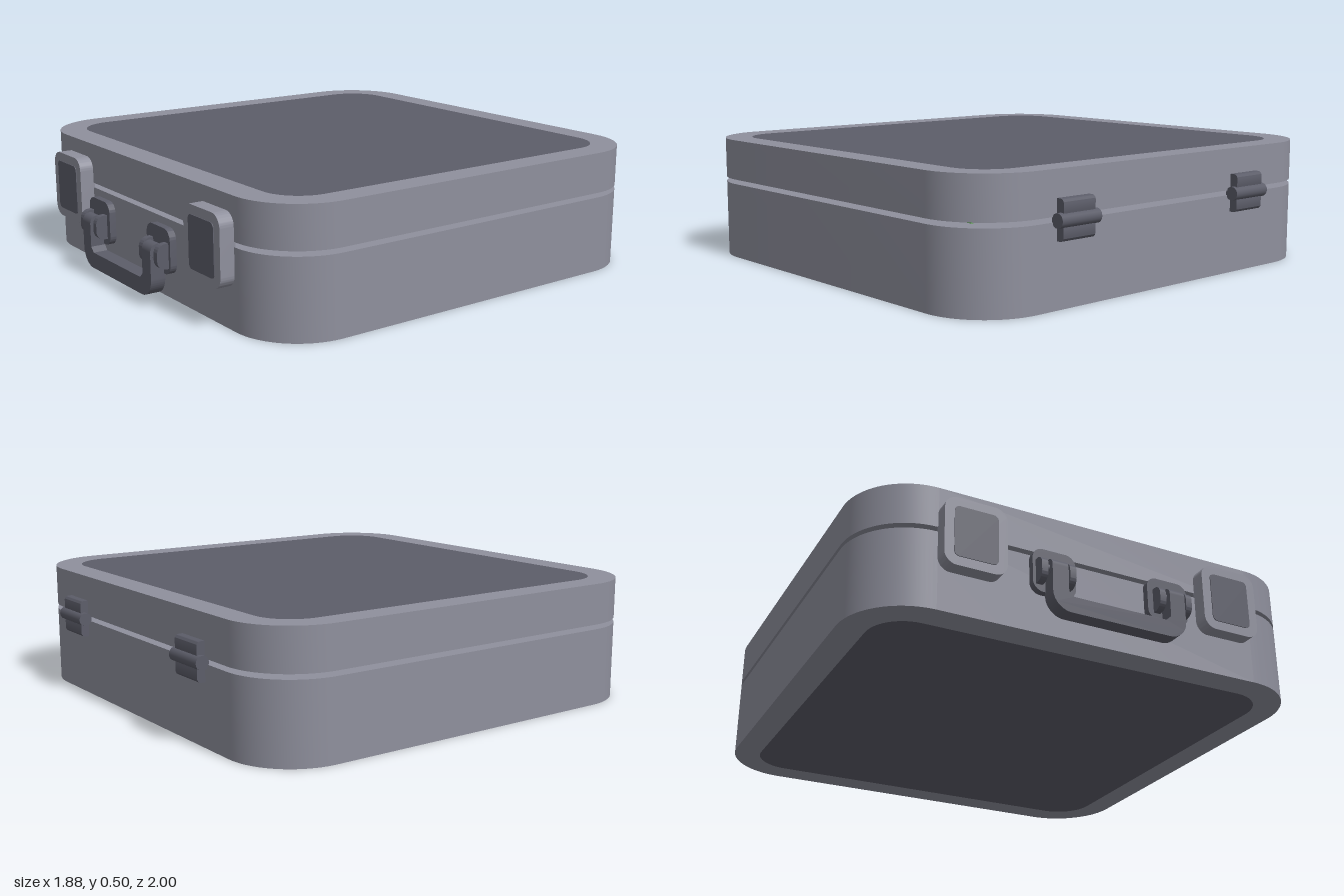
import * as THREE from 'three';
import { toCreasedNormals } from 'three/addons/utils/BufferGeometryUtils.js';

const mat = (name, color) => {
  const m = new THREE.MeshStandardMaterial({ color });
  m.name = name;
  return m;
};

// Rounded rectangle outline, centred on (cx, cy)
function roundRect(target, cx, cy, w, h, r) {
  const x = w / 2 - r, y = h / 2 - r, q = Math.PI / 2;
  target.absarc(cx + x, cy + y, r, 0, q);
  target.absarc(cx - x, cy + y, r, q, 2 * q);
  target.absarc(cx - x, cy - y, r, 2 * q, 3 * q);
  target.absarc(cx + x, cy - y, r, 3 * q, 4 * q);
  target.closePath();
  return target;
}

function extrude(shape, depth) {
  const g = new THREE.ExtrudeGeometry(shape, { depth, bevelEnabled: false, curveSegments: 12 });
  return toCreasedNormals(g, 0.6);
}

export function createModel() {
  const shellMat = mat('shellGrey', 0x8f909d);
  const darkMat = mat('darkGrey', 0x5c5d69);
  const greenMat = mat('green', 0x4faf3c);
  const model = new THREE.Group();
  model.name = 'briefcase';

  const add = (parent, name, geometry, material, x = 0, y = 0, z = 0) => {
    const mesh = new THREE.Mesh(geometry, material);
    mesh.name = name;
    mesh.position.set(x, y, z);
    parent.add(mesh);
    return mesh;
  };

  // Case halves: a rounded wall ring closed by a flush dark panel
  const half = (name, y0, y1, panelY) => {
    const g = new THREE.Group();
    g.name = name;
    model.add(g);
    const wall = roundRect(new THREE.Shape(), 0, 0.0375, 1.88, 1.825, 0.27);
    wall.holes.push(roundRect(new THREE.Path(), 0, 0.04, 1.66, 1.6, 0.155));
    add(g, name + 'Wall', extrude(wall, y1 - y0).rotateX(-Math.PI / 2), shellMat, 0, y0);
    const panel = roundRect(new THREE.Shape(), 0, 0.04, 1.66, 1.6, 0.155);
    add(g, name + 'Panel', extrude(panel, 0.04).rotateX(-Math.PI / 2), darkMat, 0, panelY);
  };
  half('base', 0, 0.312, 0);
  half('lid', 0.331, 0.496, 0.456);

  // Four green stacks inside, just showing through the gap
  for (const x of [-0.415, 0.415])
    for (const z of [0.37, -0.415])
      add(model, 'greenStack', new THREE.BoxGeometry(0.81, 0.286, 0.73), greenMat, x, 0.183, z);

  // Front latches
  for (const x of [-0.548, 0.541]) {
    const g = new THREE.Group();
    g.name = 'latch';
    g.position.set(x, 0.297, 0);
    model.add(g);
    add(g, 'latchBody', extrude(roundRect(new THREE.Shape(), 0, 0, 0.247, 0.276, 0.05), 0.063), shellMat, 0, 0, 0.87);
    add(g, 'latchPlate', extrude(roundRect(new THREE.Shape(), 0, 0, 0.172, 0.204, 0.02), 0.006), darkMat, 0, 0, 0.93);
  }

  // Handle mounts with a pair of lugs on each
  const handle = new THREE.Group();
  handle.name = 'handle';
  model.add(handle);
  for (const s of [-1, 1]) {
    add(handle, 'handleMount', extrude(roundRect(new THREE.Shape(), 0, 0, 0.176, 0.176, 0.042), 0.027), darkMat, s * 0.242, 0.218, 0.915);
    for (const dx of [-0.057, 0.057]) {
      const lug = roundRect(new THREE.Shape(), 0, 0, 0.08, 0.098, 0.036);
      add(handle, 'handleLug', extrude(lug, 0.026).translate(0, 0, -0.013).rotateY(Math.PI / 2), darkMat, s * 0.248 + dx, 0.206, 0.95);
    }
    // Pin through the lugs and the end of the grip
    add(handle, 'handlePin', new THREE.CylinderGeometry(0.016, 0.016, 0.13, 16).rotateZ(Math.PI / 2), darkMat, s * 0.248, 0.215, 0.965);
    // Rounded top end of the grip
    add(handle, 'gripEnd', new THREE.CylinderGeometry(0.03, 0.03, 0.065, 20).rotateZ(Math.PI / 2), darkMat, s * 0.248, 0.22, 0.968);
  }

  // U-shaped grip
  const u = new THREE.Shape();
  u.moveTo(-0.28, 0.22);
  u.lineTo(-0.28, 0.115);
  u.absarc(-0.205, 0.115, 0.075, Math.PI, Math.PI * 1.5);
  u.lineTo(0.205, 0.04);
  u.absarc(0.205, 0.115, 0.075, Math.PI * 1.5, Math.PI * 2);
  u.lineTo(0.28, 0.22);
  u.lineTo(0.215, 0.22);
  u.lineTo(0.215, 0.125);
  u.lineTo(0.195, 0.105);
  u.lineTo(-0.195, 0.105);
  u.lineTo(-0.215, 0.125);
  u.lineTo(-0.215, 0.22);
  u.closePath();
  add(handle, 'grip', extrude(u, 0.06), darkMat, 0, 0, 0.938);

  // Back hinges: two rounded leaves with a barrel between
  for (const x of [-0.445, 0.502]) {
    const g = new THREE.Group();
    g.name = 'hinge';
    g.position.set(x, 0.32, -0.945);
    model.add(g);
    for (const s of [-1, 1]) {
      const leaf = roundRect(new THREE.Shape(), 0, 0, 0.076, 0.062, 0.017);
      add(g, 'hingeLeaf', extrude(leaf, 0.155).translate(0, 0, -0.0775).rotateY(Math.PI / 2), darkMat, 0, s * 0.044, 0);
    }
    add(g, 'hingeBarrel', new THREE.CylinderGeometry(0.027, 0.027, 0.192, 20).rotateZ(Math.PI / 2), darkMat, 0, 0, -0.026);
  }
  return model;
}
